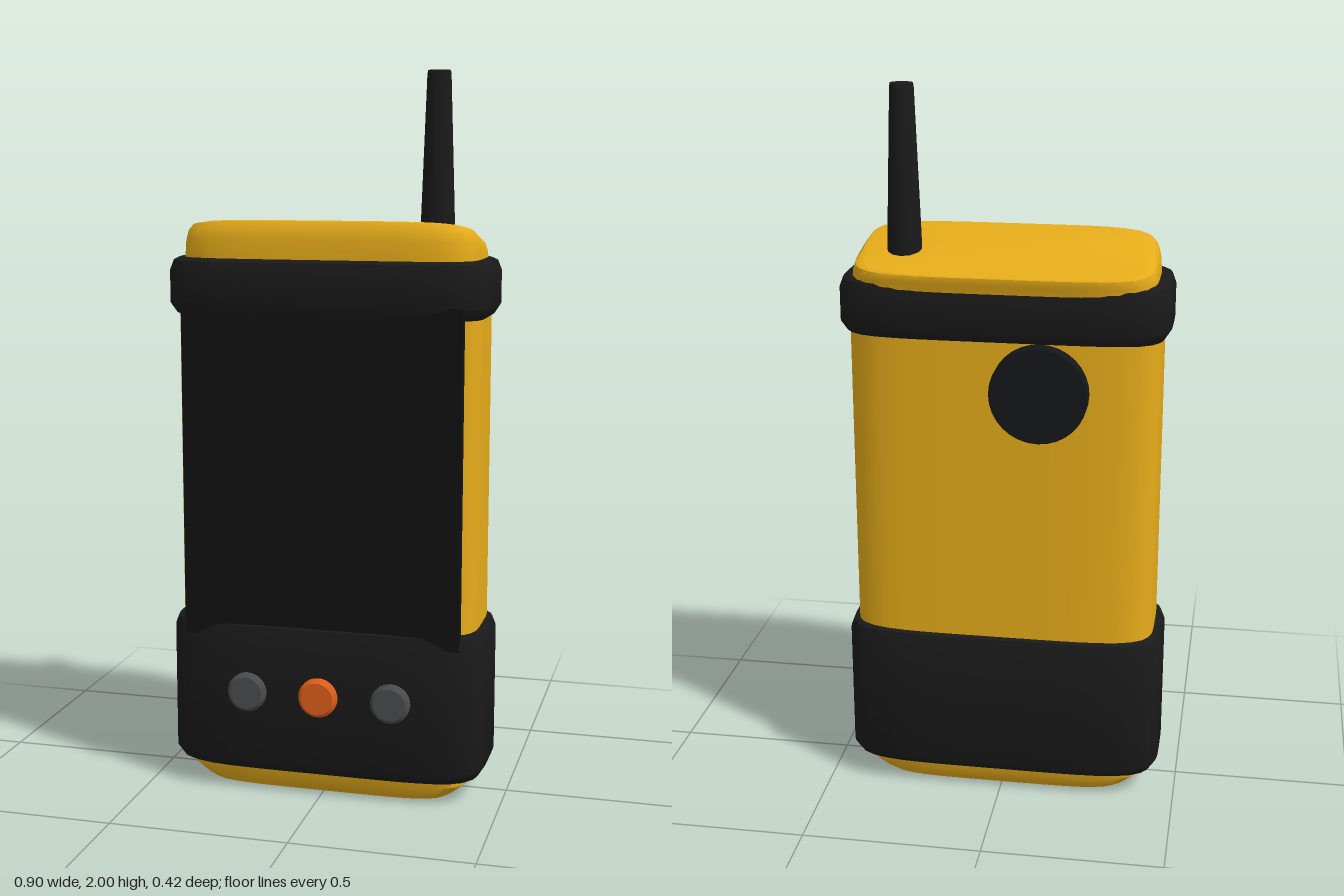
import * as THREE from 'three';
import { toCreasedNormals } from 'three/addons/utils/BufferGeometryUtils.js';

const paint = (color) => new THREE.MeshStandardMaterial({ color });
const SEGMENTS = 64;

// Closed loft of squircle rings: [y, half width, half depth, centre z, slope of y along z]
function loft(rings, power = 5) {
  const pos = [], index = [];
  for (const [y, rx, rz, cz = 0, slope = 0] of rings) {
    for (let i = 0; i < SEGMENTS; i++) {
      const a = (i / SEGMENTS) * Math.PI * 2;
      const c = Math.cos(a), s = Math.sin(a);
      const r = (Math.abs(c) ** power + Math.abs(s) ** power) ** (-1 / power);
      const z = cz + rz * r * s;
      pos.push(rx * r * c, y + slope * z, z);
    }
  }
  for (let j = 0; j < rings.length - 1; j++) {
    for (let i = 0; i < SEGMENTS; i++) {
      const k = (i + 1) % SEGMENTS;
      const a = j * SEGMENTS + i, b = j * SEGMENTS + k;
      const c = a + SEGMENTS, d = b + SEGMENTS;
      index.push(a, c, b, b, c, d);
    }
  }
  // end caps
  const end = (ring, j, up) => {
    const [y, , , cz = 0, slope = 0] = ring;
    const centre = pos.length / 3;
    pos.push(0, y + slope * cz, cz);
    for (let i = 0; i < SEGMENTS; i++) {
      const a = j * SEGMENTS + i, b = j * SEGMENTS + ((i + 1) % SEGMENTS);
      if (up) index.push(centre, b, a);
      else index.push(centre, a, b);
    }
  };
  end(rings[0], 0, false);
  end(rings[rings.length - 1], rings.length - 1, true);
  const g = new THREE.BufferGeometry();
  g.setAttribute('position', new THREE.Float32BufferAttribute(pos, 3));
  g.setIndex(index);
  return toCreasedNormals(g, 0.6);
}

// Turned part from [radius, height] pairs
function turned(points, sides) {
  const g = new THREE.LatheGeometry(points.map(([r, y]) => new THREE.Vector2(r, y)), sides);
  return toCreasedNormals(g, 0.6);
}

// Rubber band with softened edges
function band(y0, y1) {
  return loft([
    [y0, 0.42, 0.165],
    [y0 + 0.008, 0.433, 0.178],
    [y0 + 0.035, 0.45, 0.19],
    [y1 - 0.035, 0.45, 0.19],
    [y1 - 0.008, 0.44, 0.183],
    [y1, 0.425, 0.17],
  ]);
}

export function createModel() {
  const group = new THREE.Group();
  const yellow = paint(0xe6ac1a);
  const rubber = paint(0x1a1a1a);
  const glass = paint(0x121212);
  const grey = paint(0x4a4c4e);
  const orange = paint(0xe0601a);

  const add = (name, geometry, material, x = 0, y = 0, z = 0) => {
    const mesh = new THREE.Mesh(geometry, material);
    mesh.name = name;
    mesh.position.set(x, y, z);
    group.add(mesh);
    return mesh;
  };

  // Yellow shell: foot, body and sloping top
  add('foot', loft([
    [0, 0.345, 0.132],
    [0.012, 0.365, 0.14],
    [0.042, 0.4, 0.155],
    [0.1, 0.405, 0.16],
  ]), yellow);
  add('body', loft([[0.4, 0.425, 0.174], [1.4, 0.425, 0.174]]), yellow);
  add('topCap', loft([
    [1.42, 0.412, 0.172, -0.008],
    [1.5, 0.411, 0.177, -0.012],
    [1.532, 0.408, 0.178, -0.014, 0.13],
    [1.555, 0.402, 0.175, -0.017, 0.18],
    [1.567, 0.392, 0.168, -0.022, 0.23],
    [1.571, 0.375, 0.159, -0.03, 0.25],
  ]), yellow);

  // Rubber bands
  add('lowerBand', band(0.06, 0.49), rubber);
  add('upperBand', band(1.34, 1.5), rubber);

  // Flat front screen
  add('screen', new THREE.BoxGeometry(0.78, 0.93, 0.03), glass, 0, 0.915, 0.163);

  // Front buttons
  const button = turned([[0.055, 0], [0.055, 0.028], [0.045, 0.038], [0, 0.038]], 32);
  button.rotateX(Math.PI / 2);
  const names = ['rightButton', 'middleButton', 'leftButton'];
  names.forEach((name, i) => add(name, button, i === 1 ? orange : grey, (i - 1) * 0.205, 0.295, 0.172));

  // Round pad on the back
  const pad = turned([[0.133, 0], [0.133, 0.044], [0.13, 0.047], [0, 0.047]], 32);
  pad.rotateX(-Math.PI / 2);
  add('backDisc', pad, paint(0x14171a), -0.11, 1.213, -0.165);

  // Tapered antenna
  add('antenna', turned([[0, 1.5], [0.049, 1.5], [0.047, 1.6], [0.033, 1.99], [0.031, 2], [0, 2]], 12),
    rubber, 0.278, 0, -0.038);

  return group;
}
